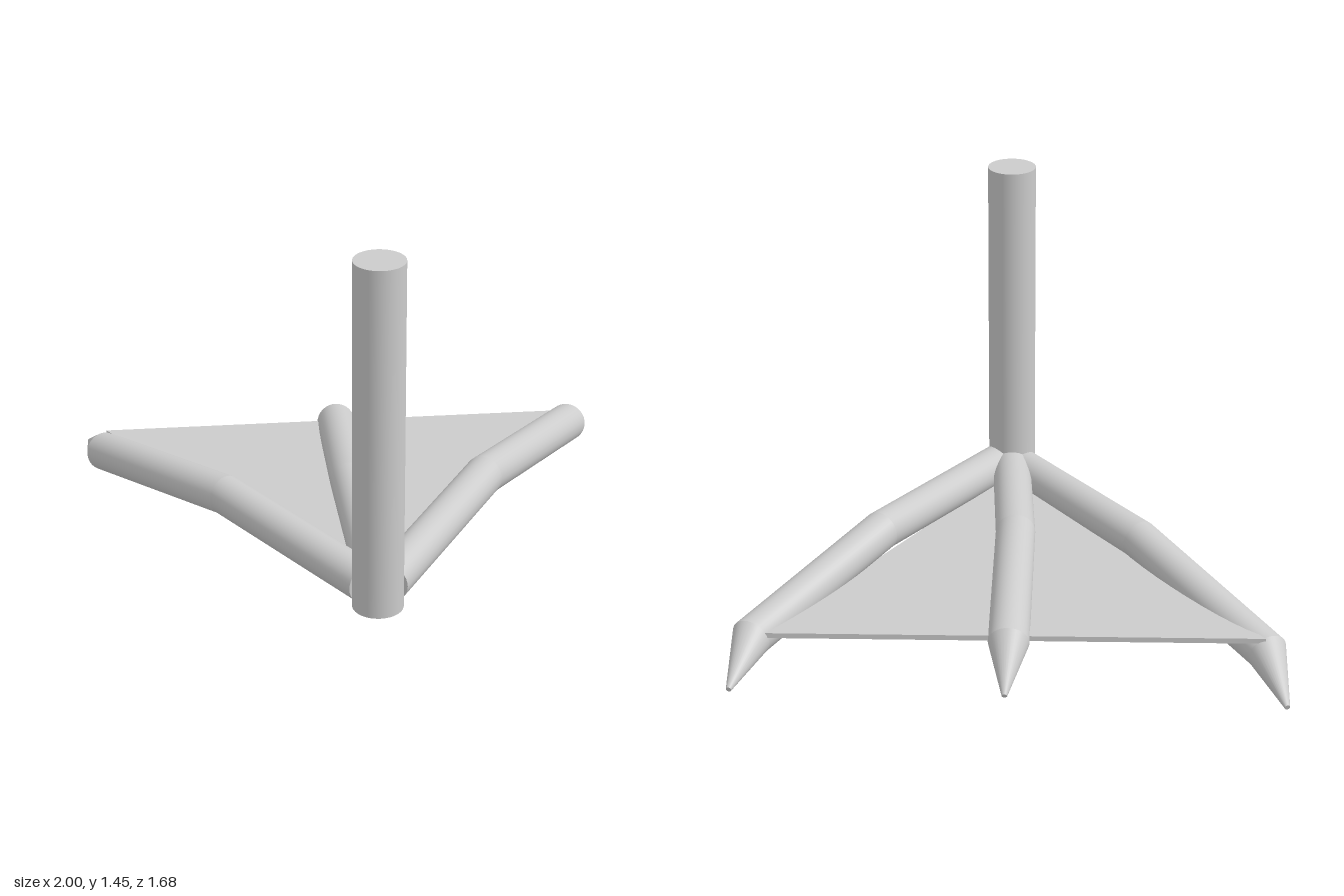
import * as THREE from 'three';

const material = new THREE.MeshStandardMaterial({ color: 0xcccccc, side: THREE.DoubleSide });
const SIDES = 32;

function addMesh(parent, name, geometry) {
  const mesh = new THREE.Mesh(geometry, material);
  mesh.name = name;
  parent.add(mesh);
  return mesh;
}

// Loft one straight section between two mitred rings
function section(ringA, ringB) {
  const pos = [], idx = [];
  for (let i = 0; i <= SIDES; i++) {
    const a = ringA[i % SIDES], b = ringB[i % SIDES];
    pos.push(a.x, a.y, a.z, b.x, b.y, b.z);
    if (i < SIDES) idx.push(2 * i, 2 * i + 2, 2 * i + 1, 2 * i + 1, 2 * i + 2, 2 * i + 3);
  }
  const geo = new THREE.BufferGeometry();
  geo.setAttribute('position', new THREE.Float32BufferAttribute(pos, 3));
  geo.setIndex(idx);
  geo.computeVertexNormals();
  // Join the normals across the seam
  const n = geo.attributes.normal;
  for (const k of [0, 1]) {
    const m = new THREE.Vector3().fromBufferAttribute(n, k)
      .add(new THREE.Vector3().fromBufferAttribute(n, 2 * SIDES + k)).normalize();
    n.setXYZ(k, m.x, m.y, m.z);
    n.setXYZ(2 * SIDES + k, m.x, m.y, m.z);
  }
  return geo;
}

// Flat disc closing a ring
function cap(ring, center, flip) {
  const pos = [];
  ring.forEach((p, i) => {
    const q = ring[(i + 1) % SIDES];
    const [a, b] = flip ? [q, p] : [p, q];
    pos.push(center.x, center.y, center.z, a.x, a.y, a.z, b.x, b.y, b.z);
  });
  const geo = new THREE.BufferGeometry();
  geo.setAttribute('position', new THREE.Float32BufferAttribute(pos, 3));
  geo.computeVertexNormals();
  return geo;
}

// A toe: two straight bones and a tapered claw along four points
function makeToe(name, coords) {
  const toe = new THREE.Group();
  toe.name = name;
  const pts = coords.map((c) => new THREE.Vector3(...c));
  const radii = [0.075, 0.075, 0.075, 0.01];
  const rings = pts.map((p, i) => {
    const dir = new THREE.Vector3();
    if (i > 0) dir.add(p.clone().sub(pts[i - 1]).normalize());
    if (i < pts.length - 1) dir.add(pts[i + 1].clone().sub(p).normalize());
    dir.normalize();
    const side = new THREE.Vector3().crossVectors(dir, new THREE.Vector3(0, 1, 0)).normalize();
    const up = new THREE.Vector3().crossVectors(side, dir);
    return Array.from({ length: SIDES }, (_, k) => {
      const t = (k / SIDES) * Math.PI * 2;
      return p.clone().addScaledVector(side, Math.cos(t) * radii[i]).addScaledVector(up, Math.sin(t) * radii[i]);
    });
  });
  ['innerBone', 'outerBone', 'claw'].forEach((part, i) => addMesh(toe, part, section(rings[i], rings[i + 1])));
  addMesh(toe, 'toeRoot', cap(rings[0], pts[0], true));
  addMesh(toe, 'clawTip', cap(rings[3], pts[3], false));
  return toe;
}

export function createModel() {
  const foot = new THREE.Group();
  foot.name = 'webbedFoot';

  // Upright leg
  const leg = addMesh(foot, 'leg', new THREE.CylinderGeometry(0.092, 0.092, 1.335, 48));
  leg.position.set(0.02, 0.7875, 0.747);

  // Three toes fanning backwards
  foot.add(makeToe('leftToe', [[0.06, 0.205, 0.73], [0.5, 0.242, 0.04], [0.93, 0.128, -0.585], [0.985, 0.058, -0.835]]));
  foot.add(makeToe('middleToe', [[0.02, 0.2, 0.7], [-0.01, 0.243, 0.035], [0, 0.148, -0.635], [0.01, 0.045, -0.835]]));
  foot.add(makeToe('rightToe', [[-0.02, 0.19, 0.7], [-0.48, 0.212, 0.045], [-0.93, 0.092, -0.585], [-0.988, 0.012, -0.835]]));

  // Thin flat web between the toes
  const outline = new THREE.Shape([
    new THREE.Vector2(0.02, -0.72),
    new THREE.Vector2(0.88, 0.62),
    new THREE.Vector2(-0.92, 0.62),
  ]);
  const web = new THREE.ExtrudeGeometry(outline, { depth: 0.02, bevelEnabled: false });
  web.rotateX(-Math.PI / 2);
  addMesh(foot, 'web', web).position.y = 0.145;

  return foot;
}
